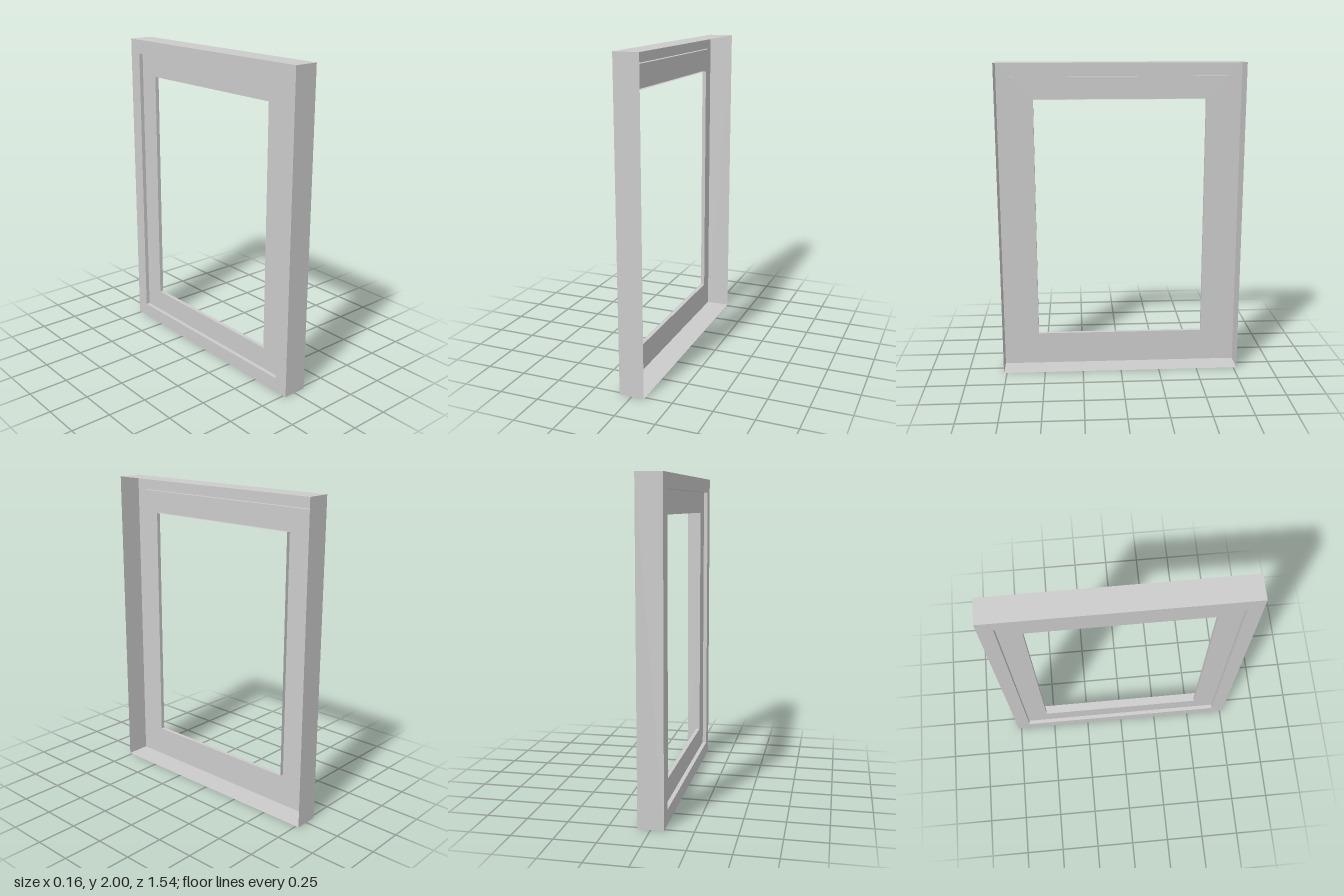
import * as THREE from 'three';

const HALF_Y = 1, HALF_Z = 0.77;
const CORNERS = [[1, -1], [1, 1], [-1, 1], [-1, -1]]; // signs of z and y

// corner of a rectangular loop, moved inward by inset at depth x
function corner([inset, x], k) {
  const [sz, sy] = CORNERS[k % 4];
  return [x, HALF_Y + sy * (HALF_Y - inset), sz * (HALF_Z - inset)];
}

// four mitred faces between two rectangular loops
function ring(name, from, to, material) {
  const positions = [];
  for (let k = 0; k < 4; k++) {
    const a = corner(from, k), b = corner(from, k + 1);
    const c = corner(to, k + 1), d = corner(to, k);
    positions.push(...a, ...b, ...c, ...a, ...c, ...d);
  }
  const geometry = new THREE.BufferGeometry();
  geometry.setAttribute('position', new THREE.Float32BufferAttribute(positions, 3));
  geometry.computeVertexNormals();
  const mesh = new THREE.Mesh(geometry, material);
  mesh.name = name;
  return mesh;
}

export function createModel() {
  const group = new THREE.Group();
  group.name = 'windowFrame';
  const material = new THREE.MeshStandardMaterial({
    color: 0xcccccc, flatShading: true, side: THREE.DoubleSide,
  });

  // sheet profile, as [inset from the outer edge, x], from open side to opening
  const profile = [
    [0, 0.078], [0, -0.078], [0.09, -0.078],
    [0.09, -0.052], [0.23, -0.052], [0.23, -0.027],
  ];
  const names = ['outerRim', 'border', 'borderStep', 'innerPanel', 'openingLip'];
  names.forEach((name, i) => group.add(ring(name, profile[i], profile[i + 1], material)));
  return group;
}
